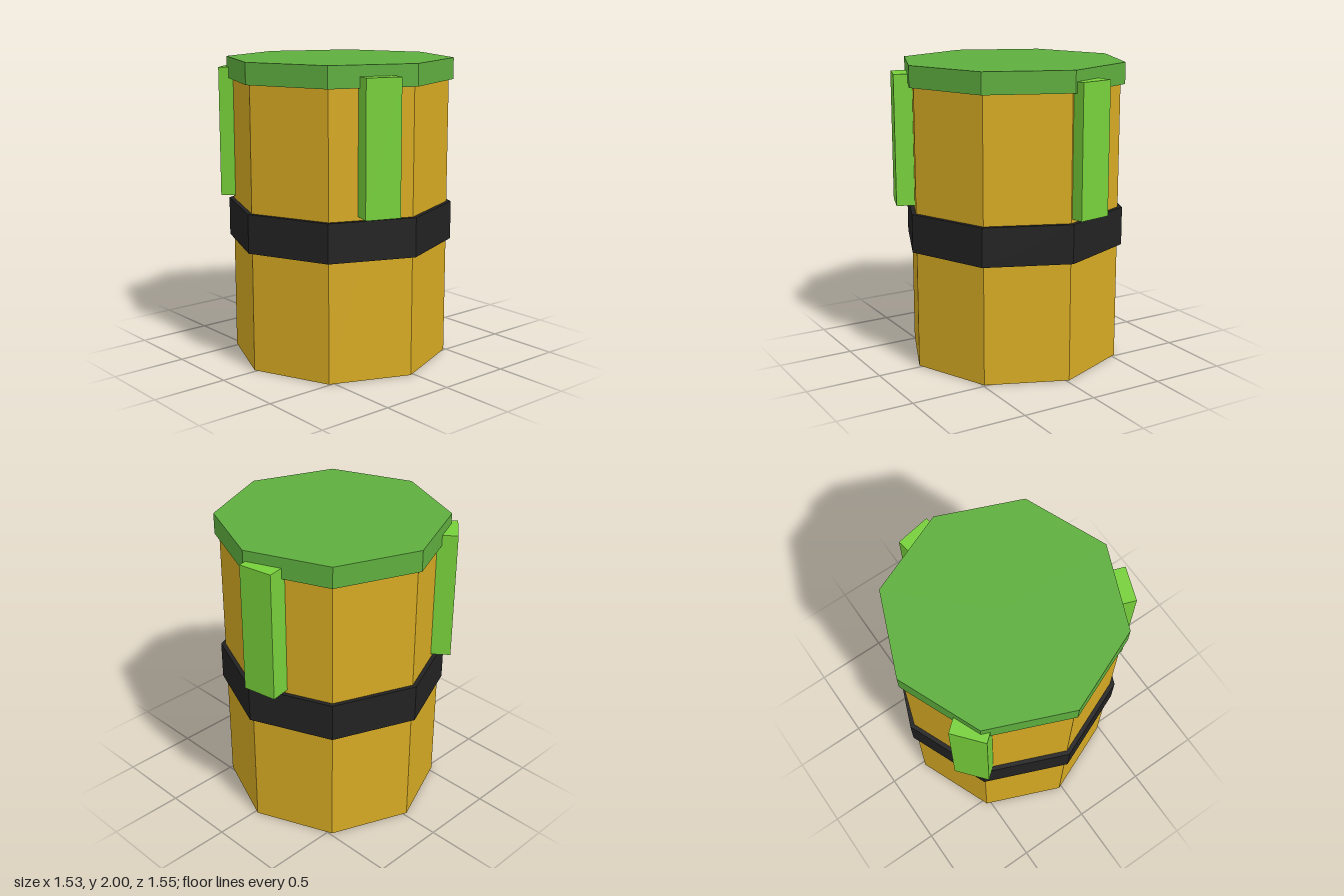
import * as THREE from 'three';

const CX = -0.02, CZ = 0.024; // axis of the barrel

function material(name, color) {
  const m = new THREE.MeshStandardMaterial({ color, flatShading: true });
  m.name = name;
  return m;
}

export function createModel() {
  const gold = material('gold', 0xd6aa23);
  const green = material('leafGreen', 0x5eae3e);
  const lime = material('limeGreen', 0x77d03b);
  const black = material('black', 0x222222);

  const model = new THREE.Group();
  model.name = 'barrel';

  // Eight-sided drum between two heights
  function drum(name, radius, bottom, top, mat) {
    const mesh = new THREE.Mesh(new THREE.CylinderGeometry(radius, radius, top - bottom, 8), mat);
    mesh.name = name;
    mesh.position.set(CX, (bottom + top) / 2, CZ);
    model.add(mesh);
  }
  drum('body', 0.72, 0, 1.99, gold);
  drum('band', 0.75, 0.79, 1.045, black);
  drum('cap', 0.75, 1.86, 2, green);

  // Three upright slats spaced evenly around the upper half
  for (const degrees of [20, 140, 260]) {
    const a = THREE.MathUtils.degToRad(degrees);
    const slat = new THREE.Mesh(new THREE.BoxGeometry(0.14, 0.86, 0.23), lime);
    slat.name = 'slat';
    slat.position.set(CX + 0.72 * Math.cos(a), 1.5, CZ + 0.72 * Math.sin(a));
    slat.rotation.y = -a;
    model.add(slat);
  }
  return model;
}
